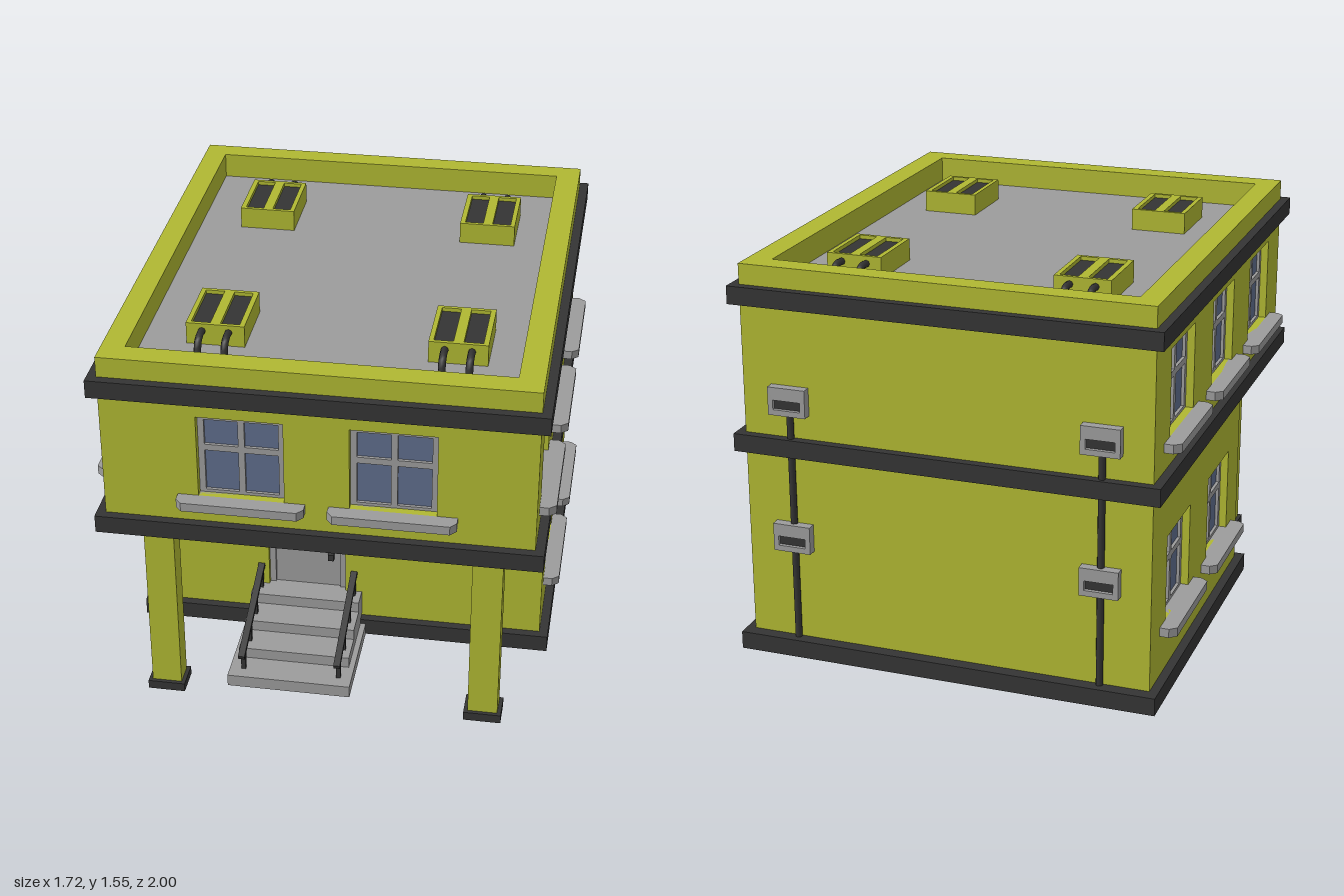
import * as THREE from 'three';

const mat = (color, side = THREE.FrontSide) => new THREE.MeshStandardMaterial({ color, side });
const YELLOW = mat(0xb0b832, THREE.DoubleSide), DARK = mat(0x343434), GREY = mat(0x9c9c9c), GLASS = mat(0x5f6d8c, THREE.DoubleSide);

function add(parent, name, geometry, material, x = 0, y = 0, z = 0) {
  const m = new THREE.Mesh(geometry, material);
  m.name = name;
  m.position.set(x, y, z);
  parent.add(m);
  return m;
}

// box given by its limits on each axis
const block = (parent, name, material, x0, x1, y0, y1, z0, z1) =>
  add(parent, name, new THREE.BoxGeometry(x1 - x0, y1 - y0, z1 - z0), material, (x0 + x1) / 2, (y0 + y1) / 2, (z0 + z1) / 2);

const poly = (pts, Type = THREE.Shape) => new Type(pts.map(([x, y]) => new THREE.Vector2(x, y)));
const rect = (x0, x1, y0, y1) => [[x0, y0], [x1, y0], [x1, y1], [x0, y1]];

// flat panel with holes, thickened towards +z
function panel(outline, holes, depth) {
  const s = poly(outline);
  s.holes = holes.map(h => poly(h, THREE.Path));
  return new THREE.ExtrudeGeometry(s, { depth, bevelEnabled: false });
}

// the same panel lying flat, thickened upward; plan coordinates are x and z
function slab(outline, holes, height) {
  const flip = pts => pts.map(([x, z]) => [x, -z]);
  return panel(flip(outline), holes.map(flip), height).rotateX(-Math.PI / 2);
}

const T = 0.03; // wall thickness
const W = 0.16; // half window width

// recessed four-pane window with a tapered sill; y is the bottom of the frame
function windowUnit(u, y) {
  const g = new THREE.Group();
  g.name = 'window';
  const panes = [];
  for (const [a, b] of [[-W + 0.023, -0.012], [0.012, W - 0.023]])
    for (const [c, d] of [[0.012, 0.18], [0.205, 0.31]]) panes.push(rect(a, b, c, d));
  add(g, 'windowFrame', panel(rect(-W, W, 0, 0.335), panes, T), GREY, 0, 0, -2 * T);
  block(g, 'windowGlass', GLASS, -W + 0.01, W - 0.01, 0.005, 0.33, -0.047, -0.042);
  block(g, 'windowBacking', YELLOW, -W + 0.01, W - 0.01, 0.005, 0.33, -0.058, -0.052);
  const sill = [[-0.235, -0.06], [0.235, -0.06], [0.238, 0.035], [0.215, 0.062], [-0.215, 0.062], [-0.238, 0.035]];
  add(g, 'windowSill', slab(sill, [], 0.035), GREY, 0, -0.035, 0);
  g.position.set(u, y, 0);
  return g;
}

// wall whose outer surface is local z = 0, with windows set into it
function facade(parent, name, outline, windows, openings = []) {
  const g = new THREE.Group();
  g.name = name;
  const holes = windows.map(([u, y]) => rect(u - W, u + W, y, y + 0.335)).concat(openings);
  add(g, 'wall', panel(outline, holes, T), YELLOW, 0, 0, -T);
  for (const [u, y] of windows) g.add(windowUnit(u, y));
  parent.add(g);
  return g;
}

function buildDoor(parent) {
  const g = new THREE.Group();
  g.name = 'door';
  add(g, 'doorFrame', panel(rect(-0.315, 0, 0.18, 0.62), [rect(-0.291, -0.024, 0.18, 0.597)], 0.05), GREY, 0, 0, -0.07);
  const light = rect(-0.237, -0.08, 0.365, 0.537);
  add(g, 'doorLeaf', panel(rect(-0.291, -0.024, 0.18, 0.597), [light], 0.025), GREY, 0, 0, -0.06);
  block(g, 'doorGlass', GLASS, -0.237, -0.08, 0.365, 0.537, -0.052, -0.045);
  block(g, 'doorBacking', YELLOW, -0.291, -0.024, 0.18, 0.597, -0.066, -0.061);
  block(g, 'doorHandle', DARK, -0.074, -0.05, 0.315, 0.343, -0.04, -0.012);
  parent.add(g);
}

// stairs with a sloping handrail on both sides
function buildStairs(parent) {
  const g = new THREE.Group();
  g.name = 'stairs';
  const heights = [0, 0.05, 0.095, 0.14, 0.185];
  for (let i = 0; i < 4; i++) {
    const w = i ? 0.223 : 0.245;
    block(g, 'step', GREY, -0.155 - w, -0.155 + w, heights[i], heights[i + 1], 0.3, 0.785 - i * 0.125);
  }
  const railY = z => 0.28 - (z - 0.33) * 0.345;
  for (const x of [-0.345, 0.037]) {
    for (let i = 0; i < 4; i++) {
      const z = 0.725 - i * 0.1235;
      block(g, 'railPost', DARK, x - 0.009, x + 0.009, heights[i + 1], railY(z), z - 0.009, z + 0.009);
    }
    const rail = add(g, 'handrail', new THREE.BoxGeometry(0.026, 0.018, 0.46), DARK, x, railY(0.55), 0.55);
    rail.rotation.x = Math.atan(0.345);
  }
  parent.add(g);
}

// rooftop unit: vented box with two bent pipes on its outer end
function roofUnit(parent, x, z, dir) {
  const g = new THREE.Group();
  g.name = 'roofUnit';
  const vents = [rect(-0.092, -0.02, -0.125, 0.125), rect(0.018, 0.09, -0.125, 0.125)];
  add(g, 'unitCasing', slab(rect(-0.11, 0.11, -0.14, 0.14), vents, 0.085), YELLOW);
  block(g, 'unitVents', DARK, -0.1, 0.1, 0.01, 0.07, -0.13, 0.13);
  for (const px of [-0.05, 0.05]) {
    const path = new THREE.CatmullRomCurve3([[0.055, 0.13], [0.057, 0.18], [0.042, 0.21], [0, 0.223]]
      .map(([y, d]) => new THREE.Vector3(px, y, d)));
    add(g, 'unitPipe', new THREE.TubeGeometry(path, 10, 0.014, 8), DARK);
  }
  g.position.set(x, 1.45, z);
  if (dir < 0) g.rotation.y = Math.PI;
  parent.add(g);
}

// rear service pipe with two slotted boxes
function wallPipe(parent, x) {
  const g = new THREE.Group();
  g.name = 'servicePipe';
  add(g, 'pipe', new THREE.CylinderGeometry(0.014, 0.014, 0.95, 8), DARK, 0, 0.535, -0.958);
  for (const y of [0.435, 0.985]) {
    const slot = rect(-0.055, 0.055, 0.022, 0.06);
    add(g, 'serviceBox', panel(rect(-0.075, 0.075, 0, 0.11), [slot], 0.037), GREY, 0, y, -0.987);
    block(g, 'serviceSlot', DARK, -0.06, 0.06, y + 0.02, y + 0.062, -0.972, -0.955);
  }
  g.position.x = x;
  parent.add(g);
}

export function createModel() {
  const house = new THREE.Group();
  house.name = 'house';

  // front, porch and back walls
  facade(house, 'upperFront', rect(-0.77, 0.77, 0.8, 1.55), [[-0.283, 1], [0.278, 1]]).position.z = 0.94;
  const porch = facade(house, 'porchWall', rect(-0.77, 0.77, 0.01, 0.8), [], [rect(-0.315, 0, 0.18, 0.62)]);
  porch.position.z = 0.33;
  buildDoor(porch);
  const back = facade(house, 'backWall', rect(-0.77, 0.77, 0.01, 1.55), []);
  back.position.z = -0.95;
  back.rotation.y = Math.PI;

  // mirrored side walls, stepped in below the overhang
  for (const s of [1, -1]) {
    const outline = [[0.33, 0.01], [0.33, 0.8], [0.94, 0.8], [0.94, 1.55], [-0.95, 1.55], [-0.95, 0.01]];
    const windows = [[0.585, 1], [0, 1], [-0.59, 1], [0, 0.272], [-0.59, 0.272]];
    const side = facade(house, s > 0 ? 'leftWall' : 'rightWall',
      outline.map(([z, y]) => [-s * z, y]), windows.map(([z, y]) => [-s * z, y]));
    side.position.x = 0.8 * s;
    side.rotation.y = s * Math.PI / 2;
  }

  // upper floor, roof and parapet
  block(house, 'upperFloor', YELLOW, -0.77, 0.77, 0.8, 0.83, -0.92, 0.91);
  block(house, 'roof', GREY, -0.77, 0.77, 1.42, 1.45, -0.92, 0.91);
  add(house, 'parapet', slab(rect(-0.77, 0.77, -0.92, 0.91), [rect(-0.712, 0.705, -0.86, 0.845)], 0.1), YELLOW, 0, 1.45, 0);

  // dark bands around the walls
  for (const [name, y, h, z0, z1, wall] of [['baseBand', 0, 0.07, -1, 0.365, 0.33],
    ['middleBand', 0.82, 0.07, -0.985, 0.975, 0.94], ['topBand', 1.4, 0.07, -0.985, 0.975, 0.94]])
    add(house, name, slab(rect(-0.835, 0.835, z0, z1), [rect(-0.798, 0.798, -0.948, wall - 0.002)], h), DARK, 0, y, 0);

  // porch columns
  for (const x of [-0.633, 0.622]) {
    block(house, 'column', YELLOW, x - 0.058, x + 0.058, 0.004, 0.79, 0.747, 0.835);
    block(house, 'columnCapital', DARK, x - 0.07, x + 0.07, 0.77, 0.8, 0.737, 0.848);
    add(house, 'columnBase', slab(rect(x - 0.073, x + 0.073, 0.735, 0.85),
      [rect(x - 0.056, x + 0.056, 0.749, 0.833)], 0.036), DARK);
  }

  buildStairs(house);
  for (const x of [-0.435, 0.465]) {
    roofUnit(house, x, 0.47, 1);
    roofUnit(house, x, -0.52, -1);
  }
  for (const x of [-0.61, 0.61]) wallPipe(house, x);
  return house;
}
